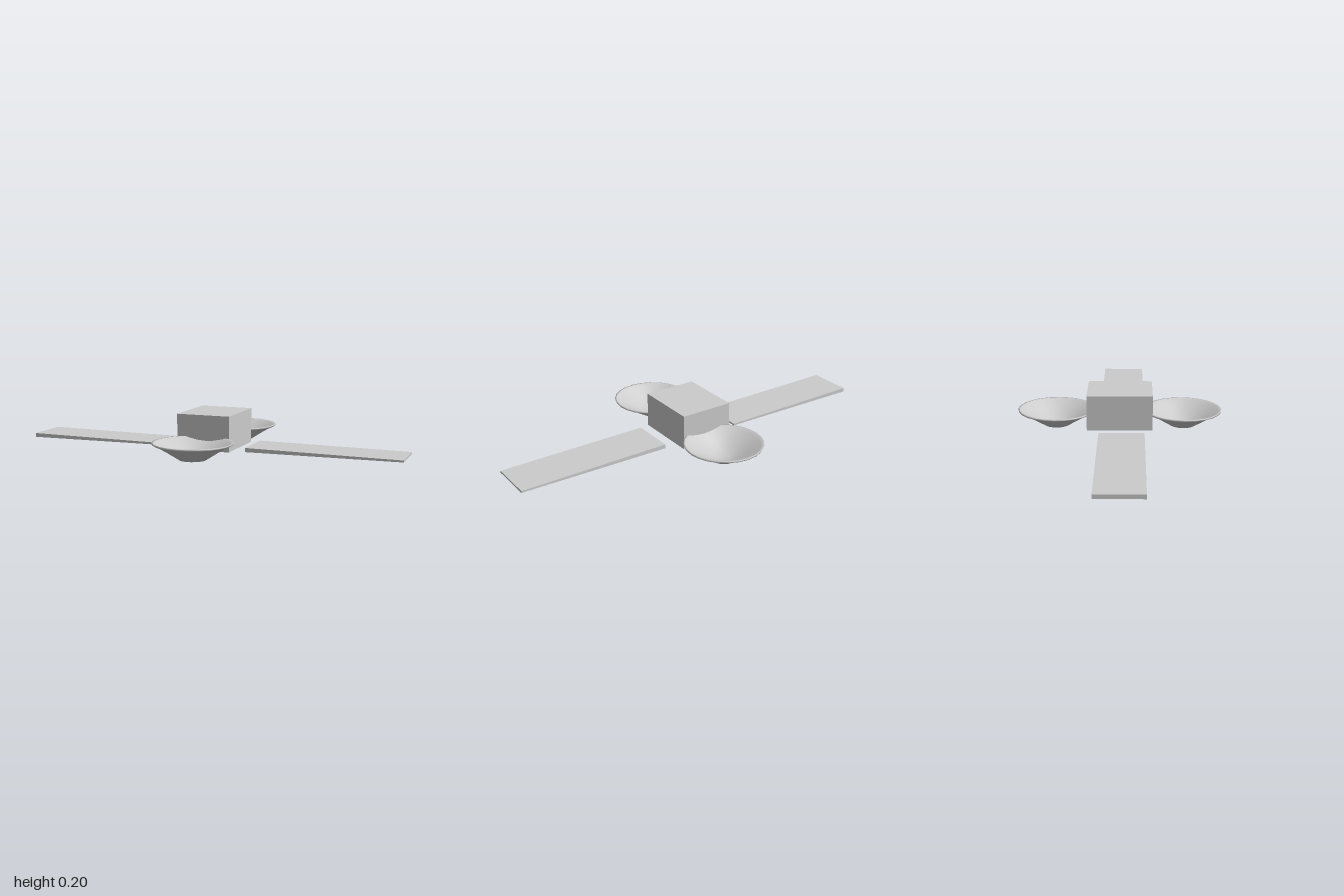
import * as THREE from 'three';

const grey = new THREE.MeshStandardMaterial({ color: 0xcccccc });
const dishGrey = new THREE.MeshStandardMaterial({ color: 0xcccccc, side: THREE.DoubleSide });

function part(name, geometry, material, x, y, z) {
  const mesh = new THREE.Mesh(geometry, material);
  mesh.name = name;
  mesh.position.set(x, y, z);
  return mesh;
}

// Flat panel, about twice as thick at its -x end as at its +x end
function panelGeometry() {
  const geometry = new THREE.BoxGeometry(0.785, 0.021, 0.23);
  const pos = geometry.attributes.position;
  for (let i = 0; i < pos.count; i++) {
    if (pos.getX(i) > 0) pos.setY(i, pos.getY(i) * 0.45);
  }
  geometry.computeVertexNormals();
  return geometry;
}

// Shallow bowl: outer skin up to the rim, then the inner skin back to the centre
function dishGeometry() {
  const profile = [
    [0, 0.002], [0.067, 0.012], [0.12, 0.046], [0.165, 0.074], [0.197, 0.088],
    [0.2, 0.096], [0.192, 0.096],
    [0.182, 0.09], [0.155, 0.076], [0.115, 0.053], [0.065, 0.027], [0.03, 0.018], [0, 0.016],
  ].map(([r, y]) => new THREE.Vector2(r, y));
  return new THREE.LatheGeometry(profile, 24);
}

export function createModel() {
  const model = new THREE.Group();
  model.name = 'satellite';

  // Central body
  model.add(part('body', new THREE.BoxGeometry(0.279, 0.18, 0.333), grey, 0.005, 0.117, 0.001));

  // Solar panels, one to each side, both tapering the same way
  const panel = panelGeometry();
  for (const [name, side] of [['leftSolarPanel', 1], ['rightSolarPanel', -1]]) {
    model.add(part(name, panel, grey, side * 0.6075, 0.0375, 0.011));
  }

  // Antenna dishes, front and back
  const dish = dishGeometry();
  for (const [name, side] of [['frontDish', 1], ['backDish', -1]]) {
    model.add(part(name, dish, dishGrey, 0.018, 0, side * 0.327));
  }
  return model;
}
